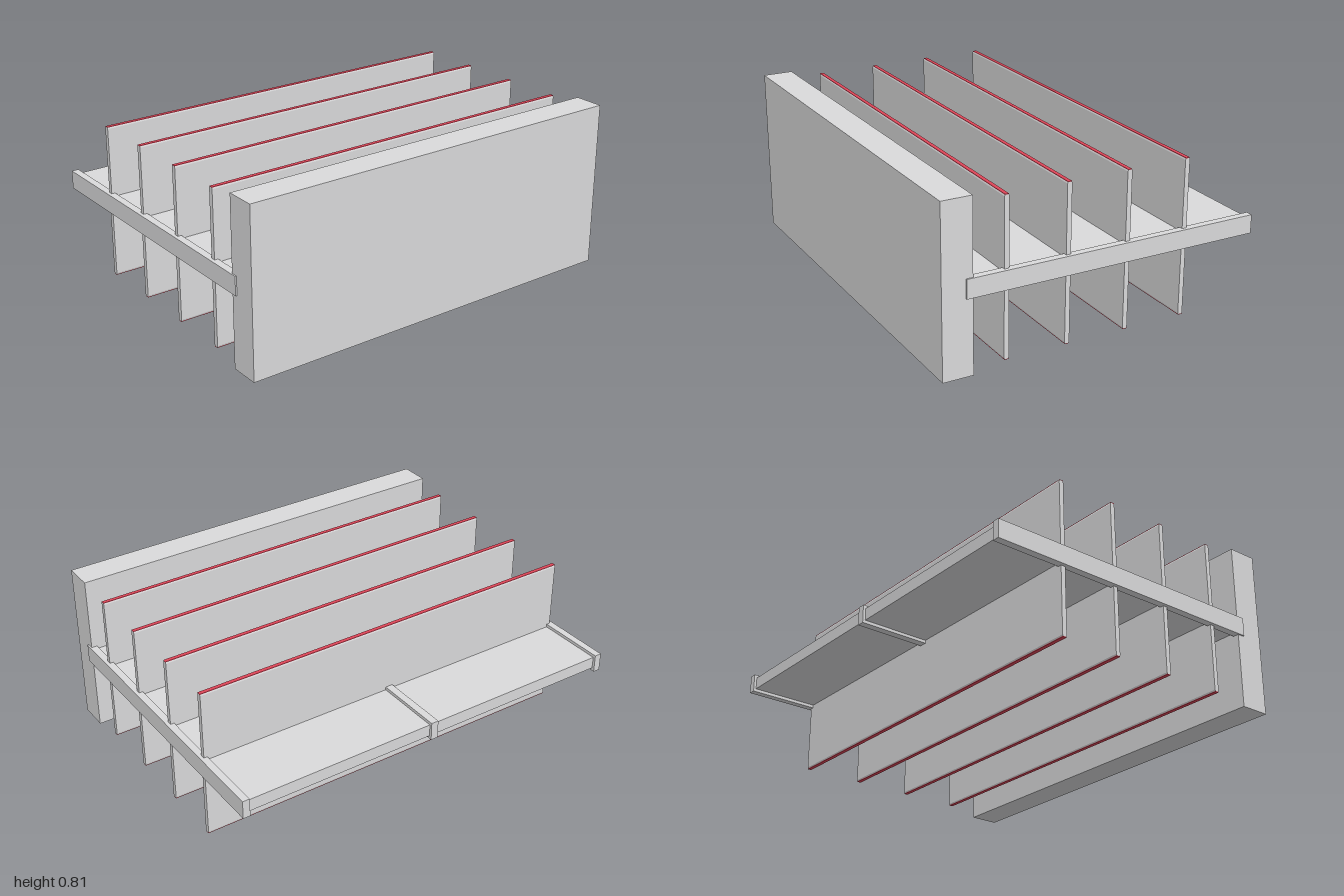
import * as THREE from 'three';

export function createModel() {
  const model = new THREE.Group();
  const grey = new THREE.MeshStandardMaterial({ color: 0xdadadb });
  grey.name = 'light grey';
  const red = new THREE.MeshStandardMaterial({ color: 0xde4558 });
  red.name = 'soft red';

  // Box given by its limits on each axis
  function box(name, [x0, x1], [y0, y1], [z0, z1], material, parent = model) {
    const mesh = new THREE.Mesh(new THREE.BoxGeometry(x1 - x0, y1 - y0, z1 - z0), material);
    mesh.position.set((x0 + x1) / 2, (y0 + y1) / 2, (z0 + z1) / 2);
    mesh.name = name;
    parent.add(mesh);
  }

  box('frontPanel', [-0.993, 0.993], [0, 0.81], [0.637, 0.783], grey);
  box('shelf', [-0.965, 0.965], [0.375, 0.435], [-0.77, 0.637], grey);

  // Rails: one on each side and one in the middle
  box('rightRail', [-1, -0.965], [0.36, 0.45], [-0.783, 0.67], grey);
  box('middleRail', [-0.0185, 0.0185], [0.36, 0.45], [-0.783, 0.637], grey);
  box('leftRail', [0.965, 1], [0.36, 0.45], [-0.783, 0.67], grey);

  // Divider profile in z and y, with narrowed top and bottom edges
  const profile = new THREE.Shape([
    [-0.0095, 0.032], [0.0095, 0.032], [0.0115, 0.038], [0.0115, 0.772],
    [0.0095, 0.778], [-0.0095, 0.778], [-0.0115, 0.772], [-0.0115, 0.038],
  ].map(([z, y]) => new THREE.Vector2(z, y)));
  const dividerGeometry = new THREE.ExtrudeGeometry(profile, { depth: 1.966, bevelEnabled: false });
  dividerGeometry.translate(0, 0, -0.983).rotateY(-Math.PI / 2);

  // Four upright dividers with red edge strips
  for (let i = 0; i < 4; i++) {
    const divider = new THREE.Group();
    divider.name = 'divider' + (i + 1);
    divider.position.z = 0.475 - i * 0.299;
    const board = new THREE.Mesh(dividerGeometry, grey);
    board.name = 'dividerBoard';
    divider.add(board);
    box('topEdgeStrip', [-0.983, 0.983], [0.778, 0.781], [-0.0095, 0.0095], red, divider);
    box('bottomEdgeStrip', [-0.983, 0.983], [0.029, 0.032], [-0.0095, 0.0095], red, divider);
    model.add(divider);
  }

  return model;
}
